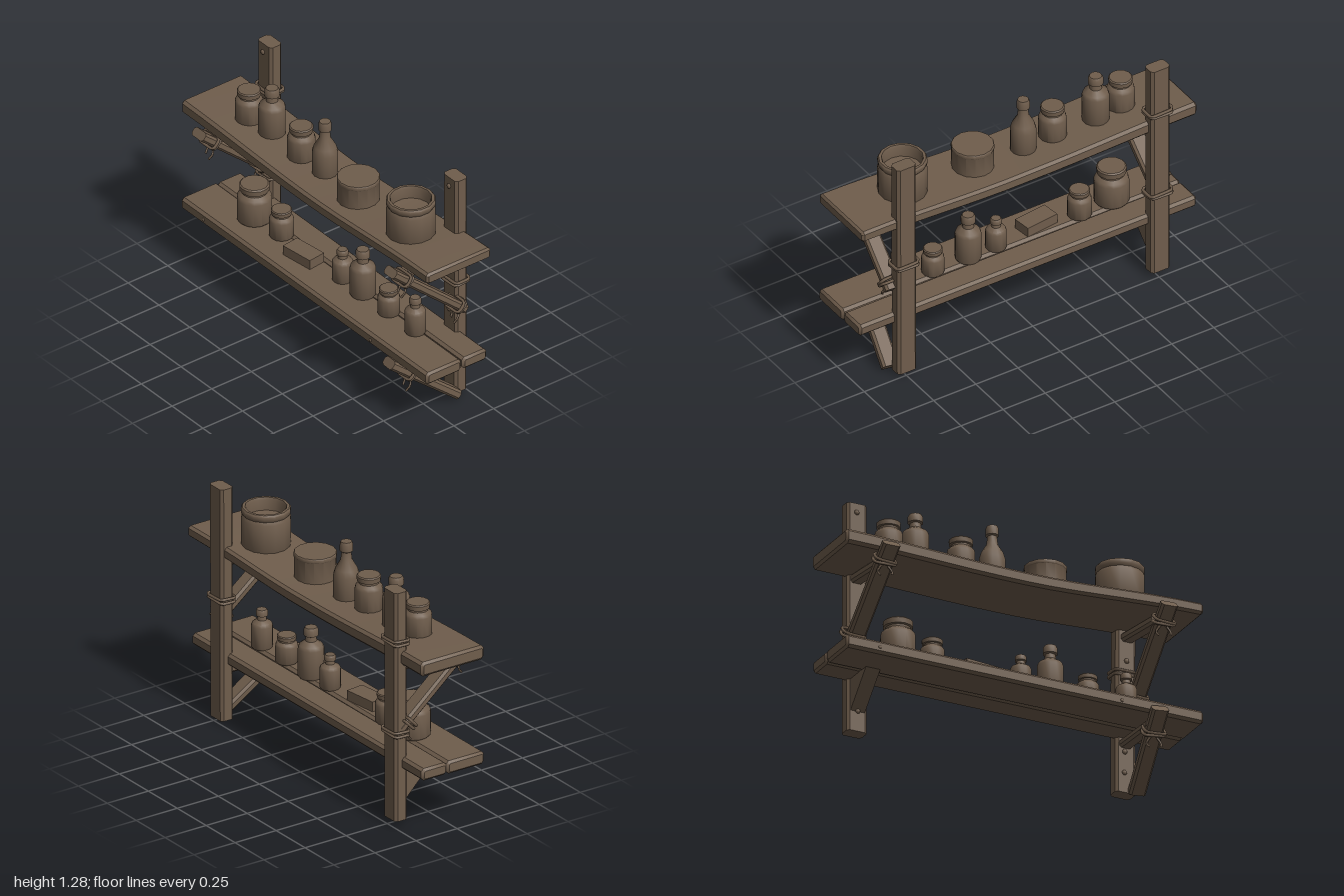
import * as THREE from 'three';
import { toCreasedNormals } from 'three/addons/utils/BufferGeometryUtils.js';

const wood = new THREE.MeshStandardMaterial({ color: 0x6f5d4c });
wood.name = 'weathered brown';

export function createModel() {
  const root = new THREE.Group();
  root.name = 'wallShelf';
  const V = (x, y, z) => new THREE.Vector3(x, y, z);

  function add(name, geo, parent = root, crease = 0.6) {
    const mesh = new THREE.Mesh(crease ? toCreasedNormals(geo, crease) : geo, wood);
    mesh.name = name;
    parent.add(mesh);
    return mesh;
  }

  // Rectangle with cut corners, centred on the origin
  function section(w, h, c) {
    const a = w / 2, b = h / 2;
    return new THREE.Shape([
      [-a + c, -b], [a - c, -b], [a, -b + c], [a, b - c],
      [a - c, b], [-a + c, b], [-a, b - c], [-a, -b + c],
    ].map(p => new THREE.Vector2(...p)));
  }

  // Frame whose z axis runs along dir and whose x axis stays close to world x
  function frame(dir) {
    const z = dir.clone().normalize();
    const y = z.clone().cross(V(1, 0, 0)).normalize();
    return new THREE.Matrix4().makeBasis(y.clone().cross(z), y, z);
  }

  // Timber with chamfered edges between two points
  function beam(name, from, to, w, t, c = 0.012) {
    const dir = to.clone().sub(from);
    const geo = new THREE.ExtrudeGeometry(section(w, t, c), { depth: dir.length(), bevelEnabled: false });
    geo.applyMatrix4(frame(dir).setPosition(from));
    return add(name, geo);
  }

  // Two turns of rope around a timber, with optional loose ends
  function lashing(at, dir, w, t, tails = false) {
    const group = new THREE.Group();
    group.name = 'lashing';
    group.applyMatrix4(frame(dir).setPosition(at));
    root.add(group);
    const pts = section(w, t, 0.014).getPoints().slice(0, 8);
    for (const k of [-1, 1]) {
      const path = new THREE.CatmullRomCurve3(
        pts.map((p, i) => V(p.x, p.y, k * 0.008 + 0.004 * Math.sin(i + k))), true, 'catmullrom', 0.3);
      add('ropeTurn', new THREE.TubeGeometry(path, 24, 0.008, 6, true), group, 0);
    }
    if (!tails) return;
    for (const k of [-1, 1]) {
      const path = new THREE.CatmullRomCurve3([
        at.clone().add(V(k * 0.02, -t / 2, 0)),
        at.clone().add(V(k * 0.035, -t / 2 - 0.03, 0.012 * k)),
        at.clone().add(V(k * 0.025, -t / 2 - 0.06, 0.02 + 0.01 * k)),
      ]);
      add('ropeEnd', new THREE.TubeGeometry(path, 5, 0.006, 5), root, 0);
    }
  }

  function nail(x, y, z, r = 0.014) {
    const geo = new THREE.SphereGeometry(r, 8, 6);
    geo.scale(1, 1, 0.7);
    add('nail', geo, root, 0).position.set(x, y, z);
  }

  // Plank along x whose height follows a rule: y(x) is its middle line
  function plank(name, z0, z1, h, yAt, shape = () => {}) {
    const geo = new THREE.ExtrudeGeometry(section(z1 - z0, h - 0.004, 0.014), {
      depth: 1.976, steps: 14, bevelEnabled: true, bevelThickness: 0.012, bevelSize: 0.012, bevelOffset: -0.012, bevelSegments: 1,
    });
    geo.translate(0, 0, -0.988);
    geo.rotateY(Math.PI / 2);
    geo.translate(0, 0, (z0 + z1) / 2);
    const p = geo.attributes.position, v = V(0, 0, 0);
    for (let i = 0; i < p.count; i++) {
      v.fromBufferAttribute(p, i);
      shape(v);
      p.setXYZ(i, v.x, v.y + yAt(v.x), v.z);
    }
    geo.deleteAttribute('normal');
    geo.computeVertexNormals();
    return add(name, geo);
  }

  // Upright posts
  beam('leftPost', V(-0.765, 0.035, -0.21), V(-0.765, 1.285, -0.21), 0.112, 0.076, 0.014);
  beam('rightPost', V(0.738, 0.018, -0.21), V(0.742, 1.285, -0.21), 0.112, 0.076, 0.014);

  // Upper shelf sags in the middle and widens toward one end
  plank('upperShelf', -0.215, 0.168, 0.074,
    x => 0.903 + (x > 0 ? 0.042 : 0.022) * (1 - Math.cos(Math.PI * x)) / 2,
    v => {
      if (v.z < 0) v.z -= 0.022 * Math.max(0, v.x);
      v.y *= 1 - 0.12 * v.x;
    });

  // Lower shelf of two boards that part toward one end
  const flat = () => 0.347;
  plank('lowerFrontBoard', -0.05, 0.17, 0.074, flat, v => { if (v.z < 0) v.z -= 0.004 * (1 - v.x); });
  plank('lowerBackBoard', -0.21, -0.058, 0.07, flat);

  // Arms and slanting braces under the shelves
  beam('upperArm', V(0.75, 0.835, 0.15), V(0.745, 0.872, -0.2), 0.07, 0.048);
  beam('upperArm', V(-0.775, 0.835, 0.15), V(-0.77, 0.872, -0.2), 0.07, 0.048);
  beam('upperBrace', V(0.775, 0.9, 0.225), V(0.8, 0.53, -0.205), 0.09, 0.048);
  beam('upperBrace', V(-0.78, 0.9, 0.225), V(-0.775, 0.53, -0.205), 0.095, 0.048);
  beam('lowerArm', V(0.735, 0.272, 0.12), V(0.735, 0.284, -0.2), 0.07, 0.045);
  beam('lowerBrace', V(0.735, 0.325, 0.205), V(0.795, 0.025, -0.17), 0.09, 0.05);

  // Wedge under the other end of the lower shelf
  const wedge = new THREE.ExtrudeGeometry(
    new THREE.Shape([V(0, 0.315, 0), V(0.175, 0.315, 0), V(0.175, 0.14, 0)]),
    { depth: 0.08, bevelEnabled: false });
  wedge.rotateY(Math.PI / 2);
  wedge.translate(-0.805, 0, 0);
  add('wedge', wedge);

  // Rope lashings on posts and braces
  const up = V(0, 1, 0.08), slope = V(0, -0.37, -0.43), low = V(0.06, -0.3, -0.375);
  lashing(V(-0.765, 1.01, -0.21), up, 0.13, 0.09);
  lashing(V(-0.765, 0.51, -0.21), up, 0.13, 0.09);
  lashing(V(0.74, 0.675, -0.21), up, 0.13, 0.09);
  for (const x of [-0.78, 0.78]) {
    lashing(V(x, 0.838, 0.153), slope, 0.112, 0.066, true);
    lashing(V(x * 1.02, 0.562, -0.168), slope, 0.112, 0.066, true);
  }
  lashing(V(0.753, 0.245, 0.1), low, 0.112, 0.07, true);

  // Nail heads
  for (const [x, y] of [[-0.77, 1.235], [-0.79, 0.5], [-0.765, 0.145], [0.74, 1.235],
    [0.74, 0.74], [0.74, 0.5], [0.73, 0.24], [0.728, 0.125]]) nail(x, y, -0.17);
  nail(-0.815, 0.345, 0.168, 0.01);
  nail(0.54, 0.342, 0.168, 0.01);

  // Turned vessels: profile points are [radius, height], scaled to r and h
  const profiles = {
    jar: [[0, 0], [0.9, 0], [1, 0.05], [1, 0.62], [0.93, 0.7], [0.72, 0.77], [0.72, 0.82],
      [0.84, 0.84], [0.86, 0.97], [0.78, 1], [0, 1]],
    bottle: [[0, 0], [0.92, 0], [1, 0.04], [1, 0.58], [0.9, 0.65], [0.45, 0.73], [0.4, 0.82],
      [0.56, 0.84], [0.56, 0.95], [0.45, 1], [0, 1]],
    slimBottle: [[0, 0], [0.92, 0], [1, 0.04], [1, 0.42], [0.85, 0.53], [0.45, 0.68], [0.37, 0.82],
      [0.5, 0.84], [0.5, 0.95], [0.42, 1], [0, 1]],
    tin: [[0, 0], [0.98, 0], [0.98, 0.84], [1, 0.86], [1, 0.97], [0.97, 1], [0, 1]],
    pot: [[0, 0], [0.94, 0], [1, 0.06], [1, 0.74], [0.94, 0.82], [1, 0.88], [1, 0.96], [0.95, 1],
      [0.84, 1], [0.8, 0.94], [0.8, 0.68], [0, 0.62]],
  };
  function vessel(kind, x, z, base, top, r) {
    const pts = profiles[kind].map(([a, b]) => new THREE.Vector2(a * r, b * (top - base)));
    const geo = new THREE.LatheGeometry(pts, 14);
    add(kind, geo, root, 0.7).position.set(x, base, z);
  }

  // Upper shelf goods
  vessel('jar', -0.675, -0.01, 0.945, 1.13, 0.072);
  vessel('bottle', -0.515, -0.03, 0.94, 1.215, 0.07);
  vessel('jar', -0.265, -0.02, 0.935, 1.127, 0.072);
  vessel('slimBottle', -0.085, -0.03, 0.93, 1.243, 0.067);
  vessel('tin', 0.205, -0.015, 0.935, 1.075, 0.11);
  vessel('pot', 0.625, -0.02, 0.95, 1.165, 0.126);

  // Lower shelf goods
  vessel('jar', -0.625, -0.005, 0.38, 0.595, 0.09);
  vessel('jar', -0.425, -0.02, 0.38, 0.542, 0.063);
  vessel('bottle', 0.07, -0.02, 0.38, 0.562, 0.054);
  vessel('bottle', 0.235, -0.02, 0.38, 0.65, 0.067);
  vessel('jar', 0.445, -0.02, 0.38, 0.53, 0.058);
  vessel('bottle', 0.66, -0.02, 0.38, 0.588, 0.055);

  // Small flat box
  const box = add('smallBox', new THREE.BoxGeometry(0.19, 0.055, 0.1), root, 0);
  box.position.set(-0.195, 0.408, 0.02);
  box.rotation.y = 0.12;

  return root;
}
